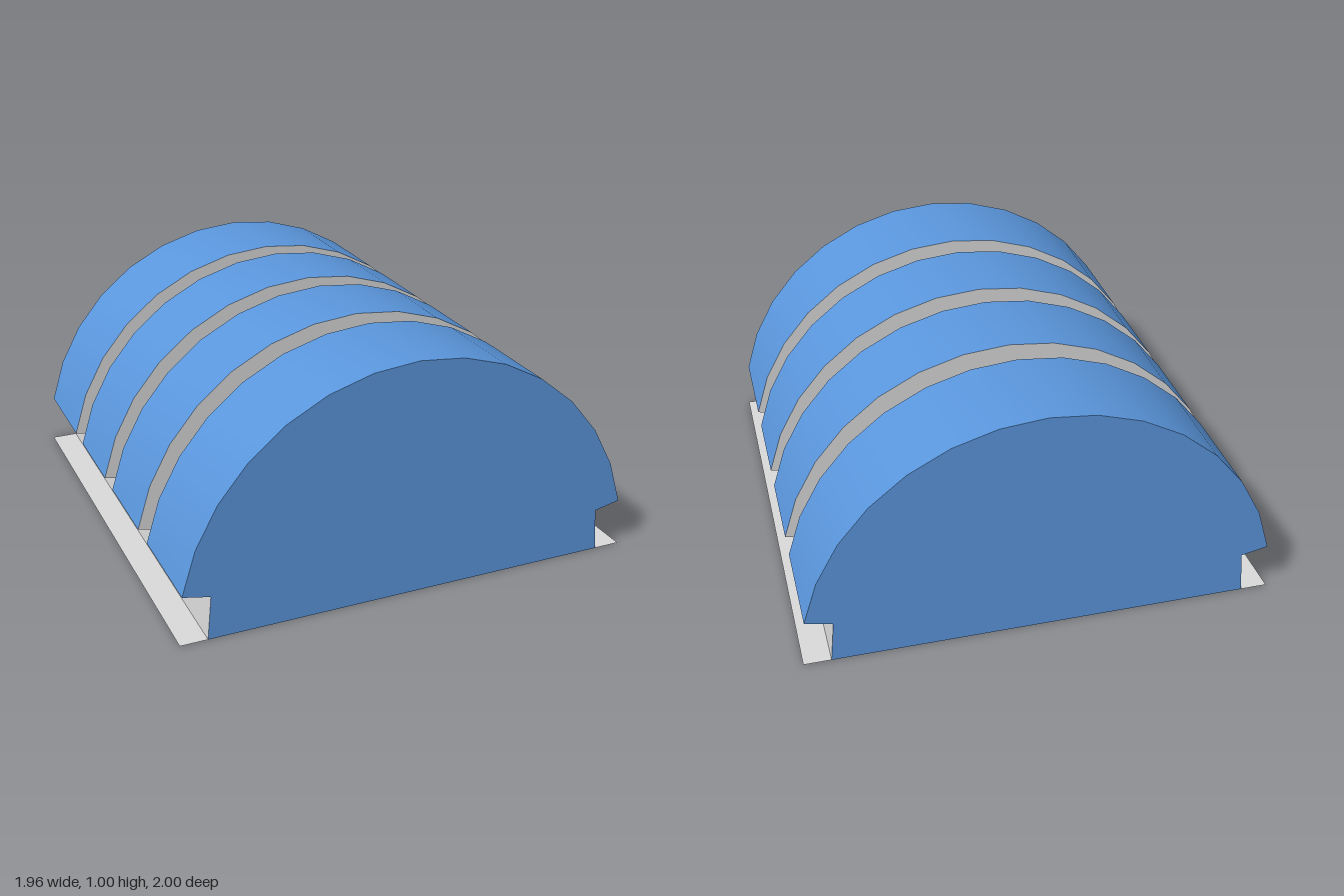
import * as THREE from 'three';

const blue = new THREE.MeshStandardMaterial({ color: 0x5a96dc, side: THREE.DoubleSide });
blue.name = 'blue panel';
const grey = new THREE.MeshStandardMaterial({ color: 0xd9d9d9, side: THREE.DoubleSide });
grey.name = 'light grey frame';

// Points of an arch, from its right foot (+x) over the top to its left foot
function arch(rx, ry, steps = 14, start = 12) {
  return Array.from({ length: steps + 1 }, (_, i) => {
    const a = THREE.MathUtils.degToRad(start + (180 - 2 * start) * i / steps);
    return [rx * Math.cos(a), ry * Math.sin(a)];
  });
}

// Sweep an open profile along z; smooth across its points, facing right of travel
function sheet(points, z0, z1) {
  const position = [], index = [];
  points.forEach(([x, y], i) => {
    position.push(x, y, z0, x, y, z1);
    if (i) {
      const a = 2 * i - 2;
      index.push(a, a + 2, a + 1, a + 1, a + 2, a + 3);
    }
  });
  const geometry = new THREE.BufferGeometry();
  geometry.setAttribute('position', new THREE.Float32BufferAttribute(position, 3));
  geometry.setIndex(index);
  geometry.computeVertexNormals();
  return geometry;
}

// Flat plate across the hall, facing the front, or the back when flipped
function plate(points, z, back = false) {
  const shape = new THREE.Shape(points.map(([x, y]) => new THREE.Vector2(back ? -x : x, y)));
  const geometry = new THREE.ShapeGeometry(shape);
  if (back) geometry.rotateY(Math.PI);
  return geometry.translate(0, 0, z);
}

export function createModel() {
  const model = new THREE.Group();
  model.name = 'archedHall';
  const add = (name, geometry, material) => {
    const mesh = new THREE.Mesh(geometry, material);
    mesh.name = name;
    model.add(mesh);
  };

  const outer = arch(0.985, 0.995);
  const inner = arch(0.87, 0.88);
  const foot = 0.868, flange = 0.98;
  const mirror = (points) => points.map(([x, y]) => [-x, y]).reverse();
  const ring = [...outer, ...[...inner].reverse()];

  // Four roof panels standing on narrow eaves
  const panels = [[-1, -0.56], [-0.44, -0.06], [0.06, 0.44], [0.56, 1]];
  const eave = [inner[0], outer[0]];
  for (const [z0, z1] of panels) {
    add('roofPanel', sheet(outer, z0, z1), blue);
    add('leftEave', sheet(eave, z0, z1), grey);
    add('rightEave', sheet(mirror(eave), z0, z1), grey);
  }

  // Recessed grooves between the panels, with their side walls
  for (const z of [-0.5, 0, 0.5]) {
    add('grooveFloor', sheet(inner, z - 0.06, z + 0.06), grey);
    add('grooveBackWall', plate(ring, z - 0.06), grey);
    add('grooveFrontWall', plate(ring, z + 0.06, true), grey);
  }

  // Low side walls and the flat strips at their feet
  const wall = [[foot, 0], inner[0]];
  const strip = [[flange, 0], [foot, 0]];
  add('leftWall', sheet(wall, -1, 1), grey);
  add('rightWall', sheet(mirror(wall), -1, 1), grey);
  add('leftFootStrip', sheet(strip, -1, 1), grey);
  add('rightFootStrip', sheet(mirror(strip), -1, 1), grey);

  // End walls; the underside stays open
  const end = [[foot, 0], inner[0], ...outer, inner[inner.length - 1], [-foot, 0]];
  add('frontWall', plate(end, 1), blue);
  add('backWall', plate(end, -1, true), blue);

  return model;
}
